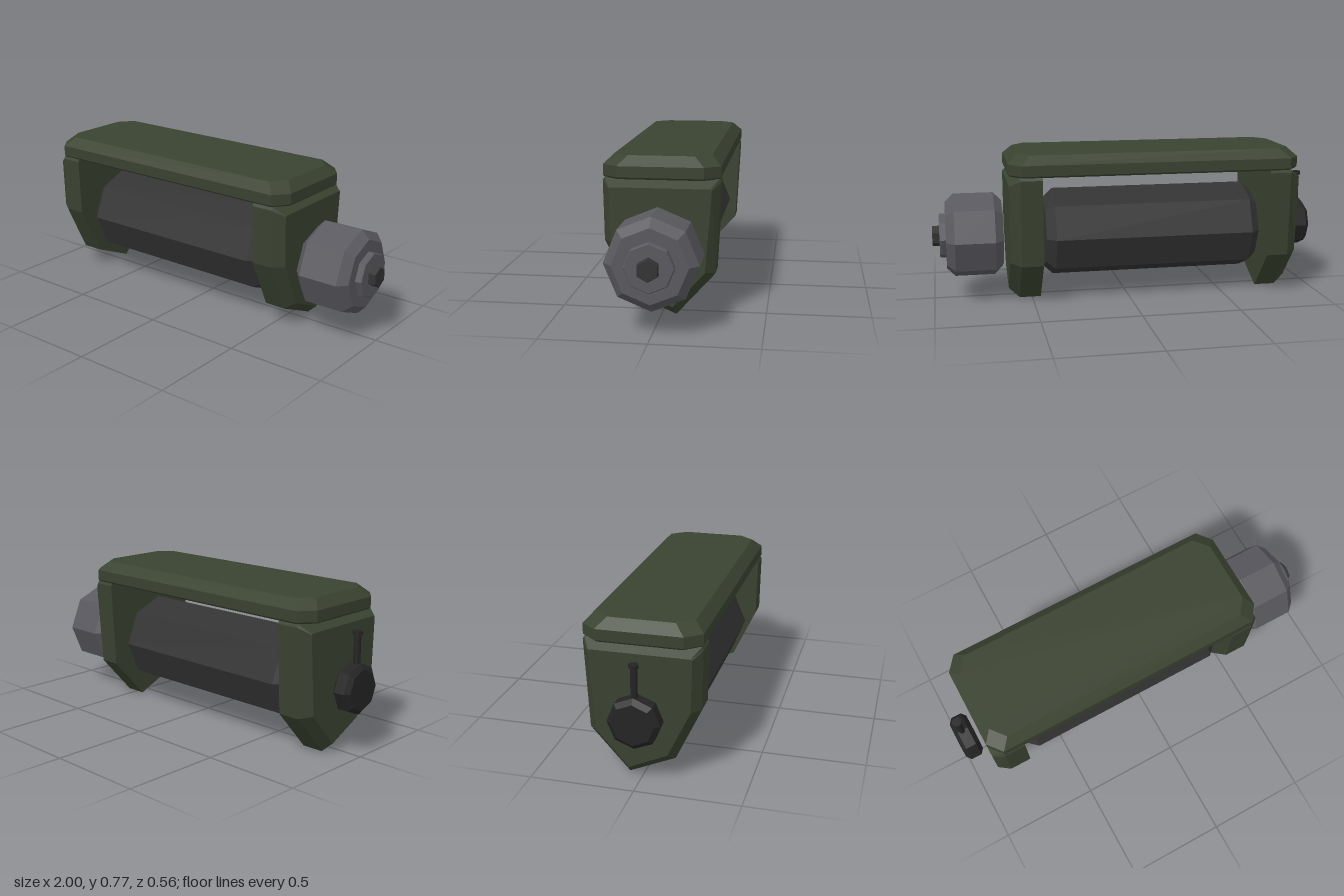
import * as THREE from 'three';

const paint = (name, color) => {
  const m = new THREE.MeshStandardMaterial({ color, flatShading: true });
  m.name = name;
  return m;
};

// Solid through convex rings of equal length, listed counter-clockwise around the loft direction
function loft(rings) {
  const n = rings[0].length;
  const index = [];
  for (let r = 0; r < rings.length - 1; r++) {
    for (let i = 0; i < n; i++) {
      const j = (i + 1) % n;
      const a = r * n + i, b = r * n + j, c = a + n, d = b + n;
      index.push(a, b, d, a, d, c);
    }
  }
  const last = (rings.length - 1) * n;
  for (let i = 1; i < n - 1; i++) {
    index.push(0, i + 1, i, last, last + i, last + i + 1);
  }
  const indexed = new THREE.BufferGeometry();
  indexed.setAttribute('position', new THREE.Float32BufferAttribute(rings.flat(2), 3));
  indexed.setIndex(index);
  const g = indexed.toNonIndexed();
  g.computeVertexNormals();
  return g;
}

// Faceted turned part along x, with a corner at the top; profile is [x, radius]
function turned(profile, sides) {
  const points = profile.map(([x, r]) => new THREE.Vector2(r, x));
  const g = new THREE.LatheGeometry(points, sides, Math.PI / 2).rotateZ(-Math.PI / 2);
  return g.translate(0, 0.333, 0);
}

// Chamfered bar along x, closed at both ends
const bar = (x0, x1, r, cx, cr, sides = 8) =>
  turned([[x0, 0], [x0, r - cr], [x0 + cx, r], [x1 - cx, r], [x1, r - cr], [x1, 0]], sides);

export function createModel() {
  const model = new THREE.Group();
  model.name = 'rollerBracket';

  const green = paint('olive green', 0x3a4230);
  const grey = paint('steel grey', 0x5a595f);
  const dark = paint('dark roller', 0x333334);
  const black = paint('black', 0x242425);

  const add = (name, geometry, material) => {
    const mesh = new THREE.Mesh(geometry, material);
    mesh.name = name;
    model.add(mesh);
    return mesh;
  };

  // Top cover: rectangle with cut corners, bevelled above
  const midX = -0.13;
  const coverRing = (y, inset) => {
    const x = 0.75 - inset, z = 0.28 - inset, cx = 0.06, cz = 0.075;
    return [
      [x, z - cz], [x, cz - z], [x - cx, -z], [cx - x, -z],
      [-x, cz - z], [-x, z - cz], [cx - x, z], [x - cx, z],
    ].map(([px, pz]) => [midX + px, y, pz]);
  };
  add('topCover', loft([
    coverRing(0.663, 0.008), coverRing(0.672, 0), coverRing(0.725, 0), coverRing(0.771, 0.047),
  ]), green);

  // Side plates: pointed shield profile [z, y], bevelled on the outer side
  const rim = [[0.272, 0.665], [0.281, 0.65], [0.275, 0.36], [0.152, 0.10],
    [-0.07, 0.002], [-0.258, 0.212], [-0.28, 0.65], [-0.272, 0.665]];
  const face = [[0.235, 0.625], [0.243, 0.62], [0.236, 0.365], [0.127, 0.137],
    [-0.058, 0.052], [-0.212, 0.226], [-0.242, 0.62], [-0.235, 0.625]];
  const at = (ring, x) => ring.map(([z, y]) => [midX + x, y, z]);
  const plate = (s) => {
    const rings = [at(rim, s * 0.585), at(rim, s * 0.695), at(face, s * 0.75)];
    return loft(s > 0 ? rings : rings.reverse());
  };
  add('leftSidePlate', plate(1), green);
  add('rightSidePlate', plate(-1), green);

  // Roller between the plates
  add('roller', bar(-0.69, 0.43, 0.23, 0.047, 0.045), dark);

  // Adjusting knob with washer and hexagonal bolt
  add('knob', bar(0.645, 0.932, 0.218, 0.042, 0.043), grey);
  add('washer', turned([[0.93, 0.116], [0.957, 0.116], [0.964, 0.111], [0.964, 0]], 8), grey);
  add('bolt', bar(0.96, 1.0, 0.053, 0.004, 0.003, 6), dark);

  // Opposite end: small disc with an upright lever
  add('leverDisc', bar(-1.0, -0.905, 0.125, 0.02, 0.025), black);
  const leverX = -0.957;
  add('lever', new THREE.CylinderGeometry(0.017, 0.017, 0.16, 8)
    .translate(leverX, 0.52, 0), black);
  add('leverHead', new THREE.CylinderGeometry(0.024, 0.024, 0.017, 8)
    .translate(leverX, 0.602, 0), black);

  return model;
}
